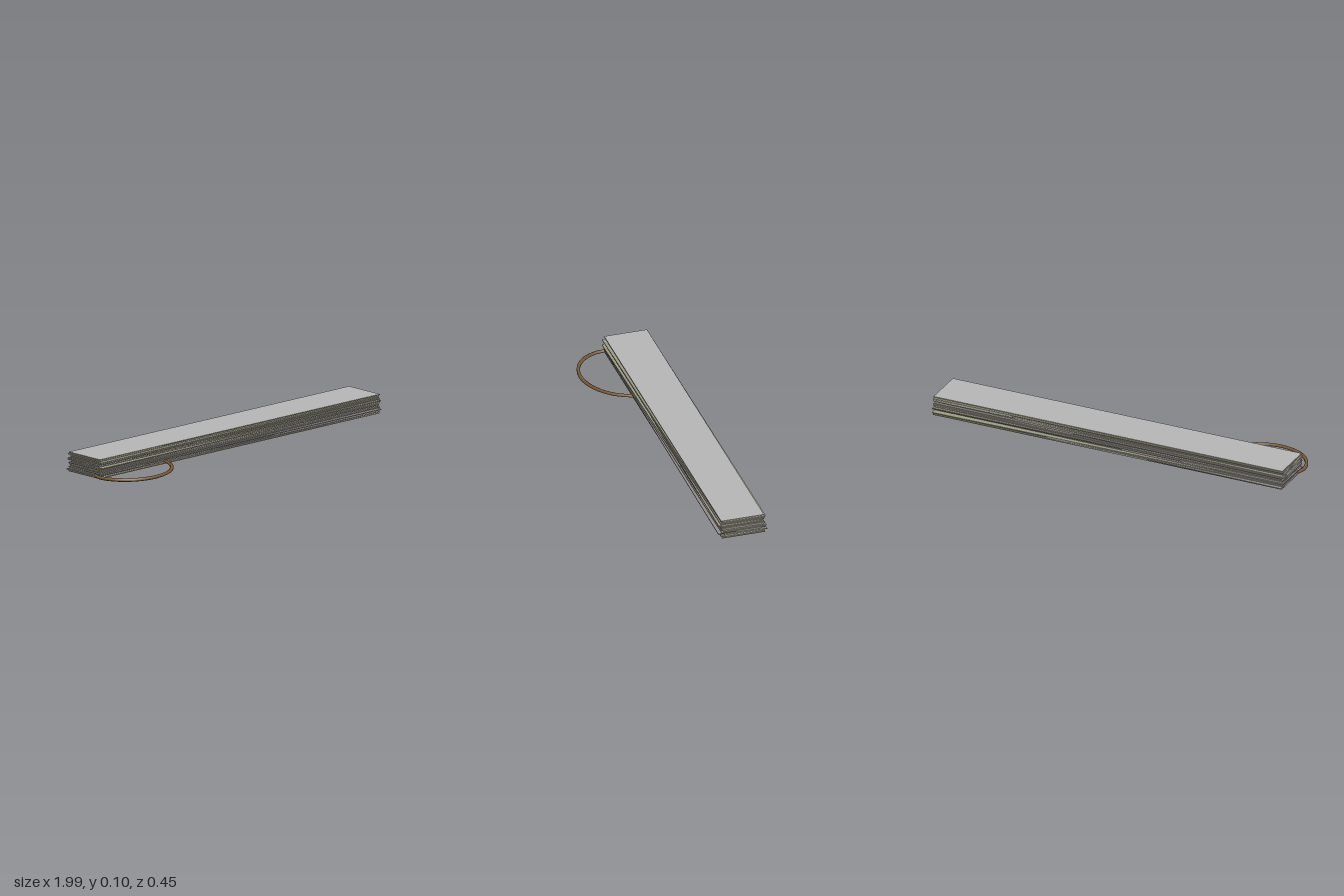
import * as THREE from 'three';

const material = (name, color) => {
  const m = new THREE.MeshStandardMaterial({ color });
  m.name = name;
  return m;
};

export function createModel() {
  const group = new THREE.Group();
  group.name = 'leafBundle';
  const grey = material('pale grey', 0xb4b4b4);
  const olive = material('olive grey', 0x9c9c86);
  const mauve = material('mauve grey', 0x958e8e);
  const brown = material('cord brown', 0x7a5a38);

  // Loose stack of long thin leaves, bottom to top: [z centre, twist, x shift, material]
  const leaves = [
    [-0.098, 0.0005, 0.002, olive],
    [-0.102, -0.009, 0.0, mauve],
    [-0.102, 0.009, 0.003, olive],
    [-0.086, -0.007, -0.002, mauve],
    [-0.093, 0.004, 0.004, mauve],
    [-0.1, 0.006, 0.003, olive],
    [-0.095, 0.001, -0.003, mauve],
    [-0.089, 0.0095, 0.002, olive],
    [-0.098, -0.005, 0.0, mauve],
    [-0.09, -0.0085, -0.002, olive],
    [-0.089, 0.005, 0.001, mauve],
    [-0.09, 0.01, 0.0, olive],
    [-0.1, 0.003, -0.001, olive],
    [-0.093, 0.0, 0.001, grey],
  ];
  const thickness = 0.005, pitch = 0.0075;
  const leafGeometry = new THREE.BoxGeometry(1.968, thickness, 0.228);
  leaves.forEach(([z, twist, x, mat], i) => {
    // The top leaf has olive sides under its pale face
    const mats = i === leaves.length - 1 ? [olive, olive, grey, olive, olive, olive] : mat;
    const leaf = new THREE.Mesh(leafGeometry, mats);
    leaf.name = 'leaf' + (i + 1);
    leaf.position.set(x, thickness / 2 + i * pitch, z);
    leaf.rotation.y = twist;
    group.add(leaf);
  });

  // Binding cord looping out from between the lowest leaves
  const path = new THREE.CatmullRomCurve3([
    [-0.49, -0.12], [-0.518, 0.03], [-0.575, 0.124], [-0.67, 0.19], [-0.78, 0.213],
    [-0.89, 0.185], [-0.965, 0.115], [-0.991, 0.03], [-0.972, -0.03],
  ].map(([x, z]) => new THREE.Vector3(x, 0.0115, z)));
  const cord = new THREE.Mesh(new THREE.TubeGeometry(path, 48, 0.0095, 6, false), brown);
  cord.name = 'cord';
  group.add(cord);

  // Flat caps on the cord ends
  [0, 1].forEach((t) => {
    const cap = new THREE.Mesh(new THREE.CircleGeometry(0.0085, 6), brown);
    cap.name = 'cordEnd';
    const p = path.getPoint(t);
    const outward = path.getTangent(t).multiplyScalar(t ? 1 : -1);
    cap.position.copy(p);
    cap.lookAt(p.clone().add(outward));
    group.add(cap);
  });

  return group;
}
